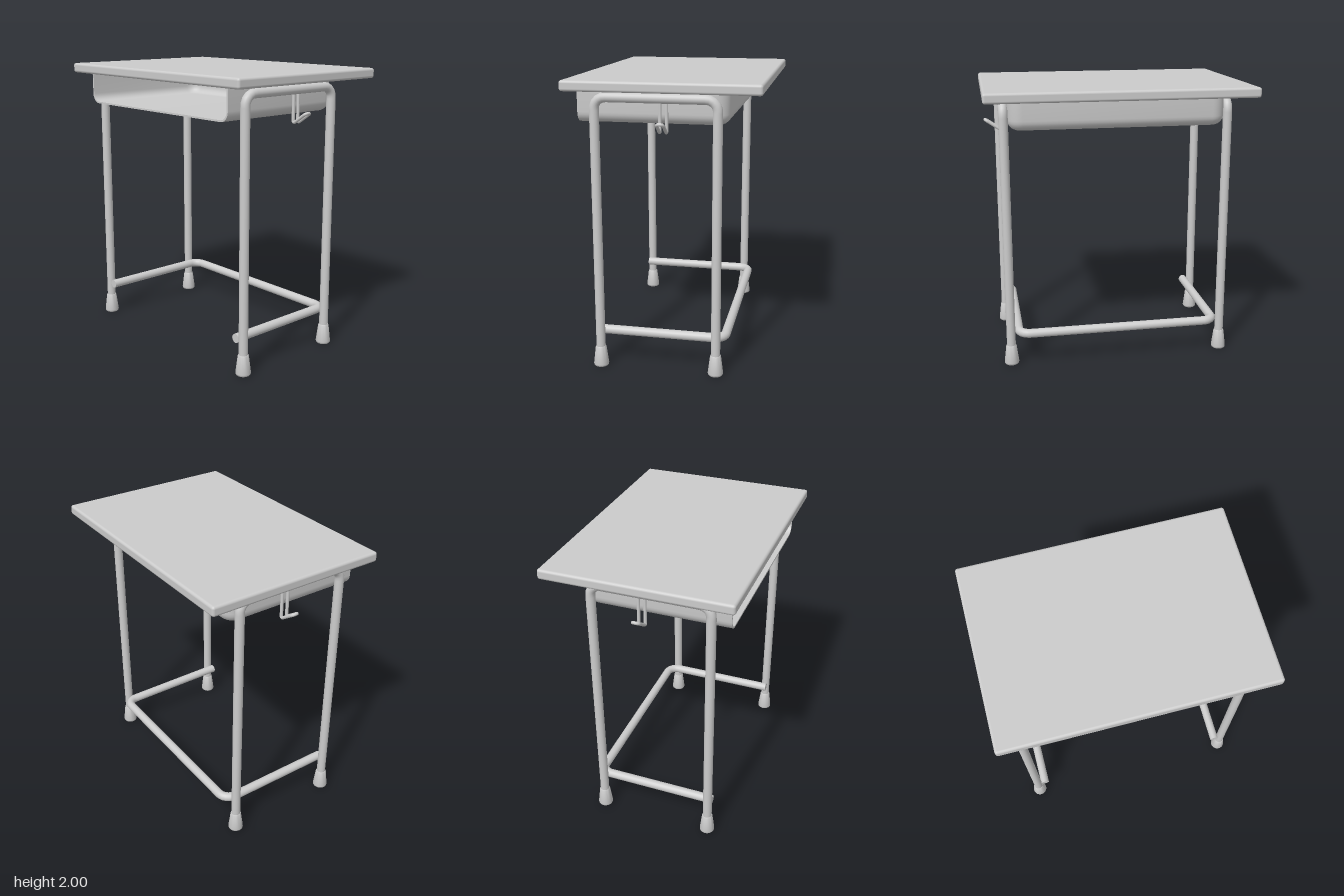
import * as THREE from 'three';
import { toCreasedNormals } from 'three/addons/utils/BufferGeometryUtils.js';
import { RoundedBoxGeometry } from 'three/addons/geometries/RoundedBoxGeometry.js';

const grey = new THREE.MeshStandardMaterial({ color: 0xcccccc });
const greyDouble = new THREE.MeshStandardMaterial({ color: 0xcccccc, side: THREE.DoubleSide });
const V = (x, y, z) => new THREE.Vector3(x, y, z);

function part(name, geometry, material = grey) {
  const mesh = new THREE.Mesh(geometry, material);
  mesh.name = name;
  return mesh;
}

// Polyline of straight runs joined by rounded corners
function bentPath(points, bend) {
  const path = new THREE.CurvePath();
  let from = points[0];
  for (let i = 1; i < points.length - 1; i++) {
    const p = points[i];
    const toward = (q) => p.clone().add(q.clone().sub(p).setLength(bend));
    const a = toward(points[i - 1]), b = toward(points[i + 1]);
    // Cubic with circular-arc handles
    const c1 = a.clone().lerp(p, 0.55), c2 = b.clone().lerp(p, 0.55);
    if (from.distanceTo(a) > 1e-4) path.add(new THREE.LineCurve3(from, a));
    path.add(new THREE.CubicBezierCurve3(a, c1, c2, b));
    from = b;
  }
  path.add(new THREE.LineCurve3(from, points[points.length - 1]));
  return path;
}

const pipe = (name, points, bend, radius, steps, sides = 20) =>
  part(name, new THREE.TubeGeometry(bentPath(points, bend), steps, radius, sides));

// Plan outline of the tray at a given inset: a U that is open towards -x
function trayOutline(inset) {
  const r = 0.1 - inset, x = 0.42 - inset, z = 0.755 - inset, n = 8;
  const half = [[-0.58, z]];
  for (let i = 0; i <= n; i++) {
    const a = (i / n) * Math.PI / 2;
    half.push([x - r + r * Math.sin(a), z - r + r * Math.cos(a)]);
  }
  return [...half, ...half.slice().reverse().map(([px, pz]) => [px, -pz])];
}

// Pressed tray: loft from inner floor up over the rim and down to the outer floor
function trayGeometry() {
  const wall = 0.012, r = 0.07, bottom = 1.71, top = 1.932;
  const side = (t) => {
    const rows = [{ inset: t, y: top }];
    for (let i = 0; i <= 6; i++) {
      const a = (i / 6) * Math.PI / 2, s = r - t;
      rows.push({ inset: r - s * Math.cos(a), y: bottom + r - s * Math.sin(a) });
    }
    rows.push({ inset: r, y: bottom + t, centre: true });
    return rows;
  };
  const profile = [...side(wall).reverse(), ...side(0)];
  const pos = [], index = [];
  const count = trayOutline(0).length, last = profile.length - 1;
  for (const { inset, y, centre } of profile)
    for (const [x, z] of trayOutline(inset)) pos.push(x, y, centre ? 0 : z);
  const id = (row, col) => row * count + col;
  for (let i = 0; i < last; i++)
    for (let j = 0; j < count - 1; j++) {
      // The closing column would span the open end only at the outline's ends, so it is left out
      index.push(id(i, j), id(i + 1, j), id(i, j + 1), id(i + 1, j), id(i + 1, j + 1), id(i, j + 1));
    }
  // Cut edge at the open end
  for (const j of [0, count - 1])
    for (let i = 0; i < (last - 1) / 2; i++) {
      const a = id(i, j), b = id(i + 1, j), c = id(last - i - 1, j), d = id(last - i, j);
      if (j === 0) index.push(a, b, c, a, c, d);
      else index.push(a, c, b, a, d, c);
    }
  const g = new THREE.BufferGeometry();
  g.setAttribute('position', new THREE.Float32BufferAttribute(pos, 3));
  g.setIndex(index);
  return toCreasedNormals(g, 0.6);
}

export function createModel() {
  const desk = new THREE.Group();
  desk.name = 'schoolDesk';
  const legX = [-0.458, 0.352], legZ = 0.782, tube = 0.032;

  // Worktop
  const top = part('worktop', new RoundedBoxGeometry(1.29, 0.07, 1.84, 3, 0.018));
  top.position.y = 1.965;
  desk.add(top, part('bookTray', trayGeometry(), greyDouble));

  // Rubber foot profile
  const footProfile = [[0, 0], [0.045, 0], [0.051, 0.006], [0.053, 0.016], [0.038, 0.137], [0.034, 0.145], [0, 0.145]]
    .map(([x, y]) => new THREE.Vector2(x, y));
  const footGeometry = toCreasedNormals(new THREE.LatheGeometry(footProfile, 28), 0.7);

  for (const s of [1, -1]) {
    const end = s > 0 ? 'front' : 'back';
    const z = s * legZ;

    // Arched leg frame
    desk.add(pipe(end + 'LegFrame', [
      V(legX[0], 0.1, z), V(legX[0], 1.883, z), V(legX[1], 1.883, z), V(legX[1], 0.1, z),
    ], 0.075, tube, 160));

    for (const x of legX) {
      const foot = part(end + 'Foot', footGeometry);
      foot.position.set(x, 0, z);
      desk.add(foot);
    }

    // Bag hook: one wire, down, outwards, across and back
    const w = 0.022;
    desk.add(pipe(end + 'BagHook', [
      V(-w, 1.88, z), V(-w, 1.66, z), V(-w, 1.735, s * 0.893),
      V(w, 1.735, s * 0.893), V(w, 1.66, z), V(w, 1.88, z),
    ], 0.02, 0.011, 120, 12));

    // Closed end of the foot rail
    const cap = part(end + 'RailCap', new THREE.CircleGeometry(tube, 20));
    cap.position.set(-0.475, 0.245, s * 0.722);
    cap.rotation.y = -Math.PI / 2;
    desk.add(cap);
  }

  // U-shaped foot rail
  desk.add(pipe('footRail', [
    V(-0.475, 0.245, 0.722), V(0.402, 0.245, 0.722), V(0.402, 0.245, -0.722), V(-0.475, 0.245, -0.722),
  ], 0.08, tube, 160));

  return desk;
}
